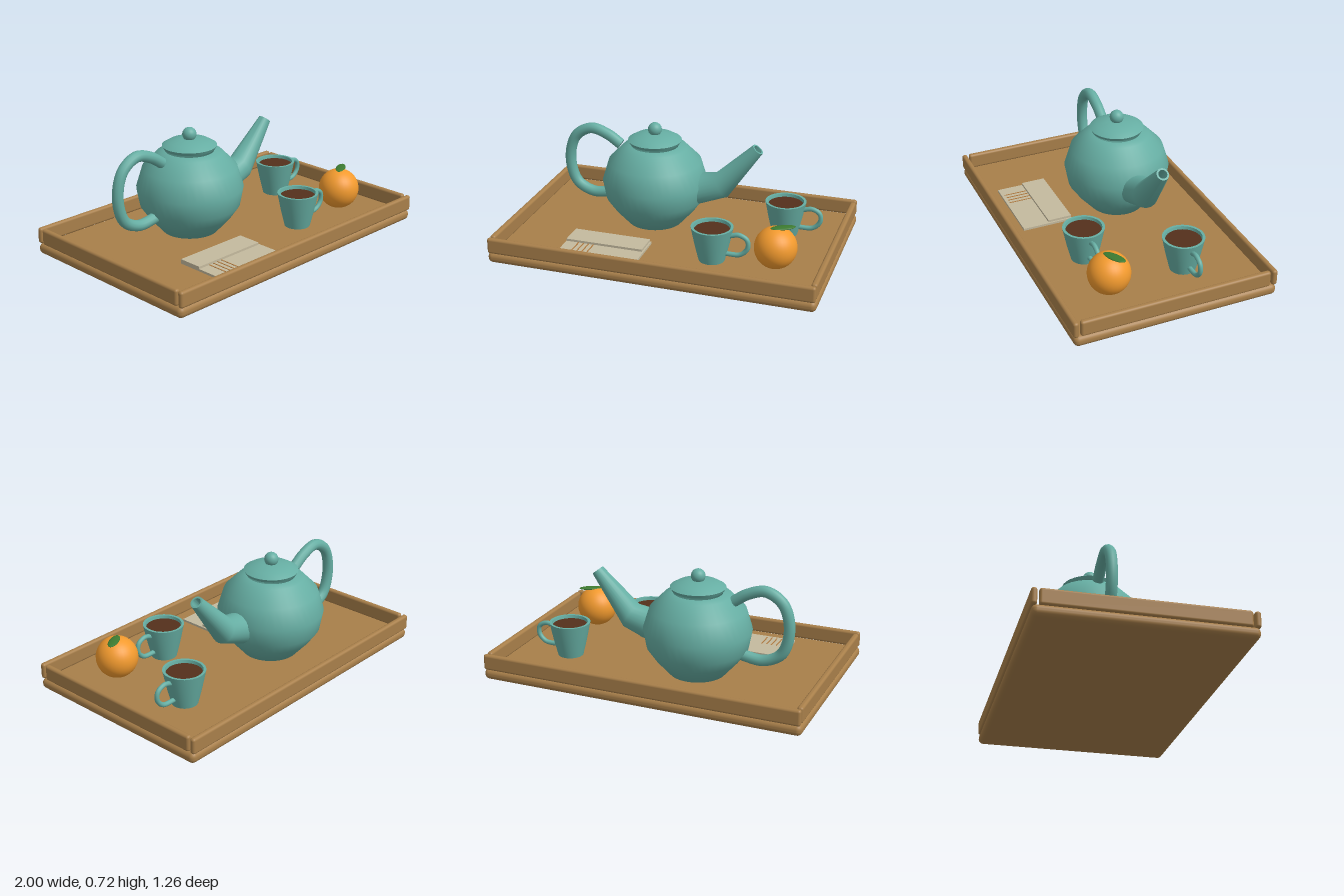
import * as THREE from 'three';
import { toCreasedNormals } from 'three/addons/utils/BufferGeometryUtils.js';
import { RoundedBoxGeometry } from 'three/addons/geometries/RoundedBoxGeometry.js';

const paint = (color) => new THREE.MeshStandardMaterial({ color, side: THREE.DoubleSide });
const wood = paint(0xa87f4a), teal = paint(0x66aea3), tea = paint(0x54301c);
const orange = paint(0xf29a2e), green = paint(0x3c7a30), cream = paint(0xc4ba9e), stripe = paint(0xb07a40);
const FLOOR = 0.067;

function add(parent, name, geometry, material, x = 0, y = 0, z = 0) {
  const mesh = new THREE.Mesh(geometry, material);
  mesh.name = name;
  mesh.position.set(x, y, z);
  parent.add(mesh);
  return mesh;
}

function group(parent, name, x = 0, y = 0, z = 0) {
  const g = new THREE.Group();
  g.name = name;
  g.position.set(x, y, z);
  parent.add(g);
  return g;
}

const lathe = (points, segments) =>
  new THREE.LatheGeometry(points.map(([r, y]) => new THREE.Vector2(r, y)), segments);

const tube = (points, radius, steps) => new THREE.TubeGeometry(
  new THREE.CatmullRomCurve3(points.map(([x, y]) => new THREE.Vector3(x, y, 0))), steps, radius, 12);

// Skin over round sections in the xy plane: [x, y, radius, axis angle]
function loft(sections, sides = 24) {
  const position = [], index = [];
  sections.forEach(([x, y, r, a], i) => {
    for (let j = 0; j < sides; j++) {
      const t = (j / sides) * Math.PI * 2;
      position.push(x - Math.sin(a) * r * Math.cos(t), y + Math.cos(a) * r * Math.cos(t), r * Math.sin(t));
      if (i === sections.length - 1) continue;
      const p = i * sides + j, q = i * sides + (j + 1) % sides;
      index.push(p, q, p + sides, q, q + sides, p + sides);
    }
  });
  const g = new THREE.BufferGeometry();
  g.setAttribute('position', new THREE.Float32BufferAttribute(position, 3));
  g.setIndex(index);
  g.computeVertexNormals();
  return toCreasedNormals(g, 0.8);
}

function addTray(parent) {
  const tray = group(parent, 'tray');
  add(tray, 'trayBase', new RoundedBoxGeometry(2, FLOOR, 1.25, 4, 0.03), wood, 0, FLOOR / 2, 0);
  for (const s of [-1, 1]) {
    add(tray, 'longRail', new RoundedBoxGeometry(1.99, 0.098, 0.034, 3, 0.015), wood, 0, 0.114, s * 0.612);
    add(tray, 'endRail', new RoundedBoxGeometry(0.036, 0.098, 1.17, 3, 0.015), wood, s * 0.977, 0.114, 0);
  }
}

function addTeapot(parent) {
  const pot = group(parent, 'teapot', -0.2, 0, -0.145);
  add(pot, 'teapotBody', lathe([
    [0, FLOOR], [0.17, FLOOR], [0.255, 0.163], [0.305, 0.235], [0.326, 0.348],
    [0.288, 0.472], [0.2, 0.562], [0.148, 0.575],
  ], 40), teal);
  add(pot, 'lid', toCreasedNormals(lathe([
    [0, 0.588], [0.155, 0.588], [0.166, 0.608], [0.125, 0.632], [0.06, 0.645], [0, 0.648],
  ], 40), 0.75), teal);
  add(pot, 'lidKnob', new THREE.SphereGeometry(0.043, 24, 16), teal, 0, 0.674, 0);
  // Curved handle, its upper end closed by a disc
  add(pot, 'teapotHandle', tube([
    [-0.225, 0.548], [-0.31, 0.603], [-0.42, 0.633], [-0.525, 0.57], [-0.567, 0.42],
    [-0.525, 0.265], [-0.42, 0.207], [-0.3, 0.217], [-0.22, 0.24],
  ], 0.034, 64), teal);
  const cap = add(pot, 'handleEnd', new THREE.CircleGeometry(0.034, 16), teal, -0.225, 0.548, 0);
  cap.rotation.set(0, Math.PI / 2, -0.58, 'ZYX');
  // Bent spout with a hollow tip
  add(pot, 'spout', loft([
    [0.28, 0.315, 0.0, 0], [0.28, 0.315, 0.1, 0], [0.435, 0.363, 0.083, 0.5],
    [0.655, 0.621, 0.038, 0.89], [0.655, 0.621, 0.027, 0.89], [0.59, 0.541, 0.027, 0.89], [0.59, 0.541, 0, 0.89],
  ]), teal);
}

function addCup(parent, x, z) {
  const cup = group(parent, 'cup', x, 0, z);
  add(cup, 'cupBody', toCreasedNormals(lathe([
    [0, FLOOR], [0.078, FLOOR], [0.102, 0.165], [0.126, 0.281], [0.11, 0.281], [0.072, 0.085], [0, 0.085],
  ], 32), 0.8), teal);
  add(cup, 'tea', new THREE.CircleGeometry(0.107, 32).rotateX(-Math.PI / 2), tea, 0, 0.262, 0);
  add(cup, 'cupHandle', tube([
    [0.105, 0.235], [0.165, 0.248], [0.213, 0.222], [0.217, 0.17], [0.175, 0.125], [0.085, 0.118],
  ], 0.0145, 32), teal);
}

function addOrange(parent) {
  const fruit = group(parent, 'orange', 0.685, 0.207, 0.29);
  add(fruit, 'orangeFruit', new THREE.SphereGeometry(0.126, 32, 24), orange);
  const leaf = add(fruit, 'leaf', new THREE.SphereGeometry(1, 20, 12), green, 0.035, 0.122, -0.018);
  leaf.scale.set(0.076, 0.009, 0.03);
  leaf.rotation.y = 0.52;
}

function addNapkin(parent) {
  const napkin = group(parent, 'napkin', 0, FLOOR, 0);
  add(napkin, 'napkinBase', new THREE.BoxGeometry(0.495, 0.014, 0.315), cream, -0.3525, 0.007, 0.3575);
  add(napkin, 'napkinFold', new THREE.BoxGeometry(0.485, 0.014, 0.15), cream, -0.3575, 0.021, 0.275);
  for (let i = 0; i < 4; i++)
    add(napkin, 'napkinStripe', new THREE.BoxGeometry(0.007, 0.003, 0.145), stripe, -0.52 + i * 0.032, 0.0145, 0.423);
}

export function createModel() {
  const model = new THREE.Group();
  model.name = 'teaTray';
  addTray(model);
  addTeapot(model);
  addCup(model, 0.625, -0.205);
  addCup(model, 0.3, 0.285);
  addOrange(model);
  addNapkin(model);
  return model;
}
